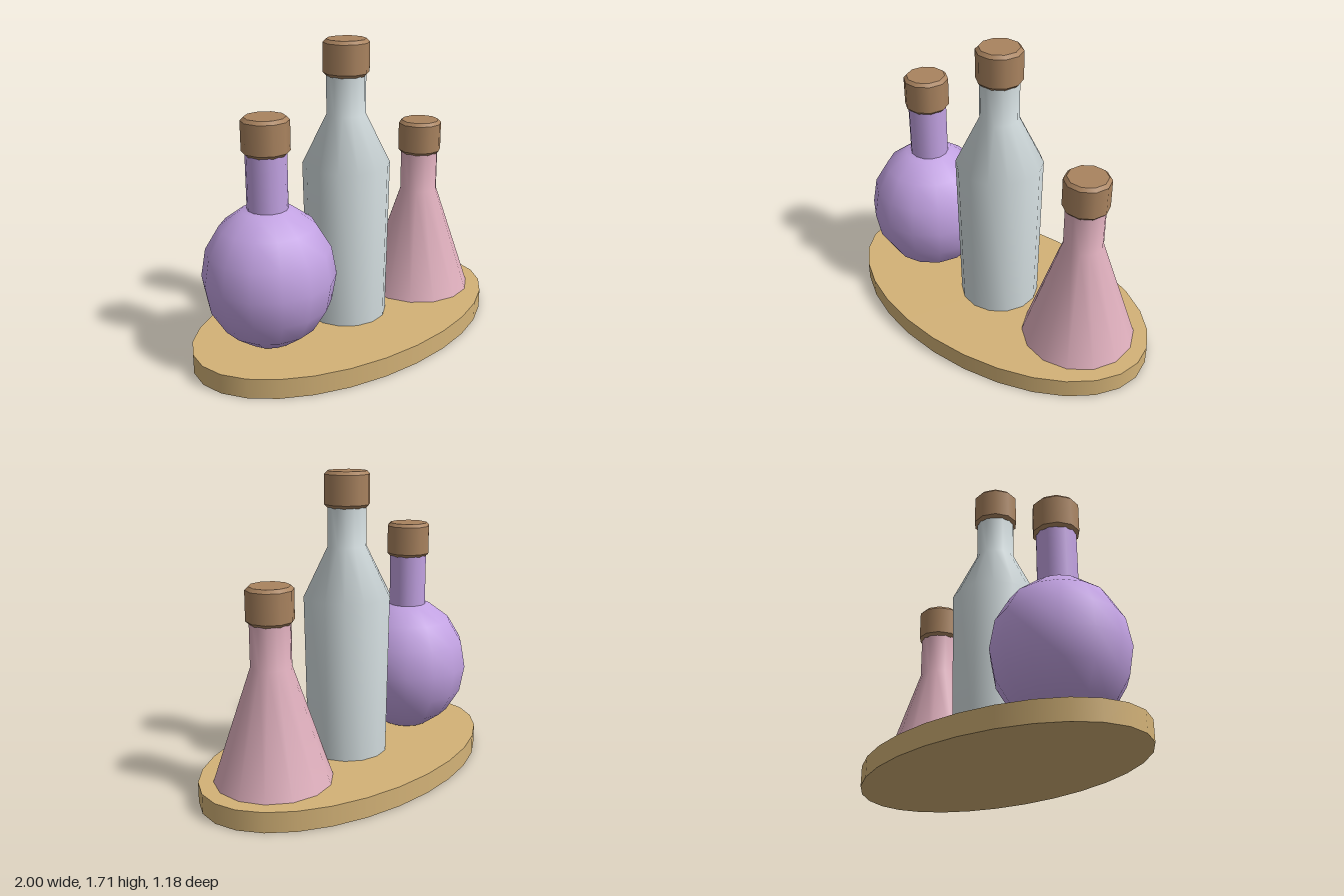
import * as THREE from 'three';

const material = (name, color) => {
  const m = new THREE.MeshStandardMaterial({ color });
  m.name = name;
  return m;
};

export function createModel() {
  const group = new THREE.Group();
  group.name = 'bottleTray';
  const wood = material('tray wood', 0xd3b277);
  const corkBrown = material('cork brown', 0xa9835f);
  const lilac = material('lilac glass', 0xc2a2e2);
  const grey = material('pale grey glass', 0xd2dcde);
  const pink = material('pink glass', 0xe0b0be);

  // Turns a profile of [radius, height] pairs, listed from the bottom up
  const lathe = (name, profile, sides, mat, x, y = 0) => {
    const points = profile.map(([r, h]) => new THREE.Vector2(r, h));
    const mesh = new THREE.Mesh(new THREE.LatheGeometry(points, sides), mat);
    mesh.name = name;
    mesh.position.set(x, y, 0);
    group.add(mesh);
    return mesh;
  };

  // Chamfered stopper standing on a bottle neck
  const cork = (name, x, y) => {
    const r = 0.128, h = 0.198, c = 0.018;
    const profile = [
      [0, 0], [r - c, 0], [r - c, 0], [r, c], [r, c],
      [r, h - c], [r, h - c], [r - c, h], [r - c, h], [0, h],
    ];
    lathe(name, profile, 10, corkBrown, x, y).rotation.y = Math.PI / 2;
  };

  // Oval tray
  const tray = new THREE.Mesh(new THREE.CylinderGeometry(1, 1, 0.112, 28), wood);
  tray.name = 'tray';
  tray.scale.z = 0.59;
  tray.position.y = 0.056;
  group.add(tray);

  // Round flask: globe and straight neck
  const globe = [];
  for (let i = 0; i <= 8; i++) {
    const a = (i / 8) * Math.PI;
    globe.push([0.364 * Math.sin(a), 0.5 - 0.405 * Math.cos(a)]);
  }
  lathe('roundFlaskBody', globe, 14, lilac, -0.553);
  lathe('roundFlaskNeck', [[0.11, 0.82], [0.11, 1.22]], 14, lilac, -0.55);
  cork('roundFlaskCork', -0.55, 1.176);

  // Tall bottle with sloping shoulders
  lathe('tallBottle', [
    [0, 0.1], [0.23, 0.1], [0.23, 0.1], [0.246, 1.02], [0.109, 1.3], [0.109, 1.56],
  ], 14, grey, 0);
  cork('tallBottleCork', 0, 1.513);

  // Conical flask
  lathe('conicalFlask', [
    [0, 0.1], [0.326, 0.1], [0.326, 0.1], [0.11, 0.74], [0.11, 1.02],
  ], 14, pink, 0.59);
  cork('conicalFlaskCork', 0.59, 0.97);

  return group;
}
